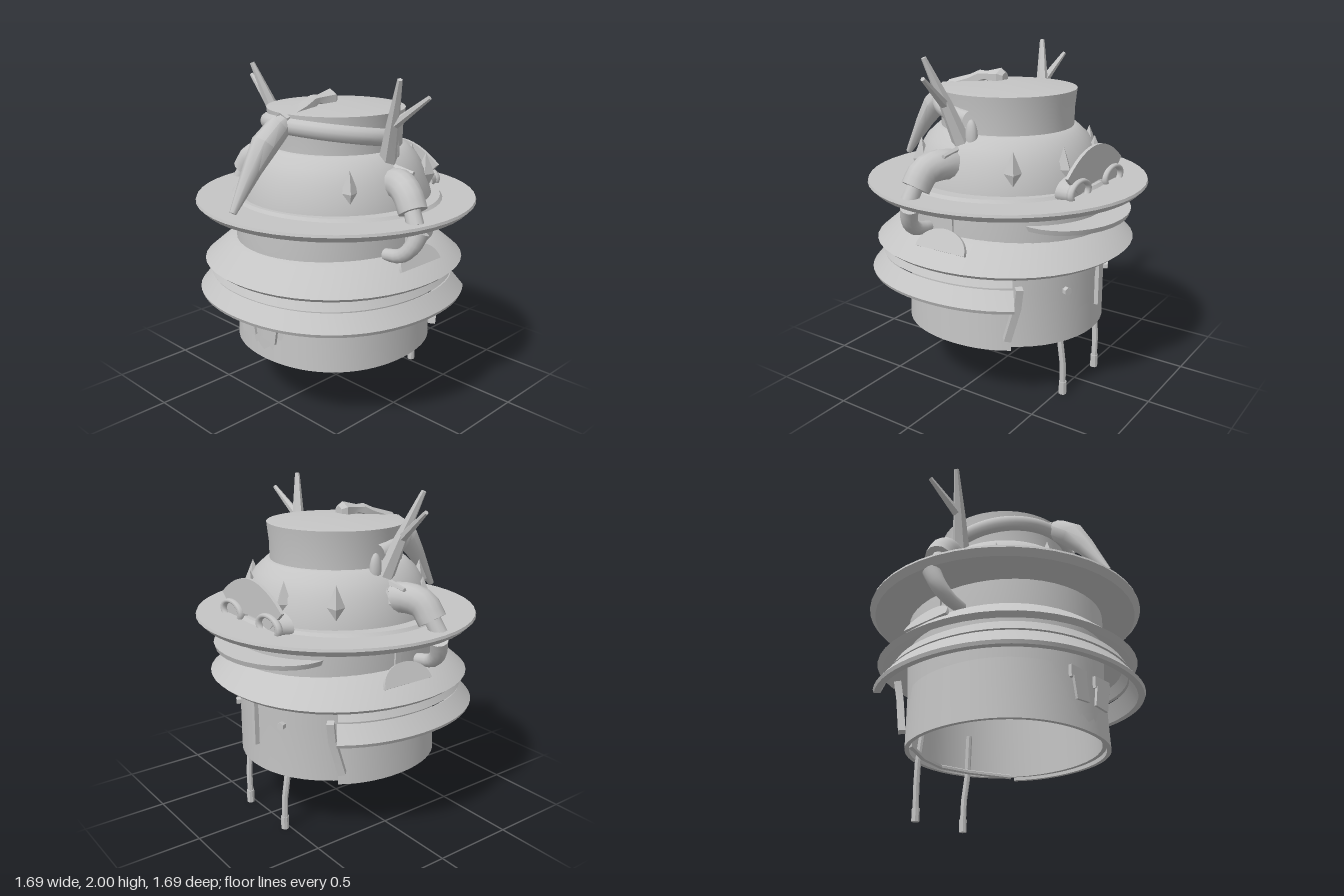
import * as THREE from 'three';
import { toCreasedNormals } from 'three/addons/utils/BufferGeometryUtils.js';

export function createModel() {
  const model = new THREE.Group();
  const grey = new THREE.MeshStandardMaterial({ color: 0xc4c4c4, side: THREE.DoubleSide });
  grey.name = 'plain grey';

  const V = (p) => new THREE.Vector3(...p);
  const add = (name, geo, crease = 0.6) => {
    const mesh = new THREE.Mesh(toCreasedNormals(geo, crease), grey);
    mesh.name = name;
    model.add(mesh);
    return mesh;
  };
  // Turned part with a [radius, y] profile, optionally open at the back by gap radians
  // each side, and fuller on the diagonals by the given share
  const lathe = (name, pts, gap = 0, fuller = 0) => {
    const geo = new THREE.LatheGeometry(
      pts.map(([r, y]) => new THREE.Vector2(r, y)), 48, gap - Math.PI, 2 * (Math.PI - gap));
    const p = geo.attributes.position;
    for (let i = 0; i < p.count; i++) {
      const k = 1 + fuller * Math.sin(2 * Math.atan2(p.getX(i), p.getZ(i))) ** 2;
      p.setXYZ(i, p.getX(i) * k, p.getY(i), p.getZ(i) * k);
    }
    return add(name, geo);
  };

  // Loft round rings of given radius along a path of [x, y, z, radius] stations
  const loft = (name, stations, sides, crease = 0.6) => {
    const pos = [], idx = [];
    const n = stations.length;
    stations.forEach((s, i) => {
      const dir = V(stations[Math.min(i + 1, n - 1)].slice(0, 3))
        .sub(V(stations[Math.max(i - 1, 0)].slice(0, 3))).normalize();
      const ref = Math.abs(dir.z) > 0.9 ? new THREE.Vector3(1, 0, 0) : new THREE.Vector3(0, 0, 1);
      const u = new THREE.Vector3().crossVectors(ref, dir).normalize();
      const v = new THREE.Vector3().crossVectors(dir, u);
      for (let j = 0; j < sides; j++) {
        const a = (j / sides) * Math.PI * 2;
        const p = V(s.slice(0, 3)).addScaledVector(u, s[3] * Math.cos(a)).addScaledVector(v, s[3] * Math.sin(a));
        pos.push(p.x, p.y, p.z);
        if (i < n - 1) {
          const k = i * sides, j2 = (j + 1) % sides;
          idx.push(k + j, k + j2, k + sides + j, k + j2, k + sides + j2, k + sides + j);
        }
      }
    });
    for (let j = 1; j < sides - 1; j++) {
      const k = (n - 1) * sides;
      idx.push(0, j + 1, j, k, k + j, k + j + 1);
    }
    const geo = new THREE.BufferGeometry();
    geo.setAttribute('position', new THREE.Float32BufferAttribute(pos, 3));
    geo.setIndex(idx);
    return add(name, geo, crease);
  };

  // Smooth curved tube with tapering radius
  const hose = (name, pts, r0, r1) => {
    const curve = new THREE.CatmullRomCurve3(pts.map(V));
    const stations = curve.getPoints(8).map((p, i) => [p.x, p.y, p.z, r0 + (r1 - r0) * i / 8]);
    return loft(name, stations, 14, 1);
  };

  // Open-bottomed body, slightly deeper than wide, with a shell around the lower front
  lathe('body', [[0, 1.15], [0.535, 1.15], [0.535, 0.37], [0.56, 0.37], [0.56, 0.7], [0.575, 1.0], [0.57, 1.2]], 0, 0.01)
    .scale.z = 1.08;
  lathe('frontShell', [[0.56, 0.68], [0.56, 0.35], [0.585, 0.35], [0.57, 0.7]], 0.92, 0.03).position.z = 0.022;
  lathe('dome', [[0.58, 1.2], [0.575, 1.27], [0.53, 1.42], [0.48, 1.5], [0.42, 1.555], [0.395, 1.56]]);
  lathe('head', [[0.395, 1.54], [0.397, 1.66], [0.41, 1.775], [0, 1.815]]);

  // Brim and its inner collar
  lathe('brim', [[0.55, 1.18], [0.81, 1.2], [0.845, 1.235], [0.84, 1.25], [0.55, 1.25]]);
  lathe('collar', [[0.66, 1.25], [0.645, 1.268], [0.56, 1.268]]).scale.z = 0.93;

  // Upper skirt all round, lower skirts open at the back
  const upper = lathe('upperSkirt', [[0.56, 0.98], [0.735, 0.85], [0.765, 0.875], [0.62, 1.0], [0.56, 1.02]], 0, 0.02);
  upper.scale.z = 1.02;
  upper.position.z = 0.018;
  lathe('middleSkirt', [[0.69, 0.79], [0.715, 0.79], [0.68, 0.85], [0.66, 0.85], [0.69, 0.79]], 0.9, 0.03)
    .position.z = 0.04;
  lathe('lowerSkirt', [[0.7, 0.775], [0.745, 0.67], [0.782, 0.67], [0.79, 0.69], [0.715, 0.782], [0.7, 0.775]], 0.9, 0.03)
    .position.z = 0.035;

  // Band around the front of the head
  const band = add('headBand', new THREE.TorusGeometry(0.4, 0.05, 12, 32, Math.PI), 1);
  band.rotation.x = Math.PI / 2 - 0.17;
  band.position.y = 1.64;

  // Beak with a tail knob running back over the crown
  loft('beakTail', [[0, 1.82, 0.02, 0.035], [0, 1.82, 0.05, 0.06], [0, 1.825, 0.15, 0.03],
    [0, 1.82, 0.19, 0.04], [0, 1.785, 0.26, 0.045], [0, 1.73, 0.42, 0.055]], 6);
  loft('beak', [[0, 1.74, 0.38, 0.04], [0, 1.705, 0.45, 0.07], [0, 1.62, 0.555, 0.078],
    [0, 1.5, 0.645, 0.056], [0, 1.28, 0.79, 0.02]], 8, 0.8);

  for (const s of [-1, 1]) {
    // Antlers, twigs and ears
    loft('antler', [[s * 0.41, 1.46, 0.01, 0.058], [s * 0.5, 1.73, 0.07, 0.038], [s * 0.6, 1.99, 0.135, 0.015]], 6);
    loft('antlerBranch', [[s * 0.52, 1.74, 0.07, 0.028], [s * 0.725, 1.9, 0.04, 0.013]], 6);
    loft('twig', [[s * 0.42, 1.49, 0.02, 0.025], [s * 0.61, 1.47, 0.01, 0.012]], 5);
    const ear = add('ear', new THREE.SphereGeometry(1, 12, 8), 1);
    ear.scale.set(0.03, 0.1, 0.038);
    ear.position.set(s * 0.42, 1.55, -0.04);

    // Side pipes above and below the brim
    hose('upperPipe', [[s * 0.45, 1.38, 0.03], [s * 0.55, 1.41, 0.06], [s * 0.65, 1.385, 0.11], [s * 0.71, 1.3, 0.13]], 0.09, 0.082);
    loft('pipeNozzle', [[s * 0.7, 1.32, 0.13, 0.045], [s * 0.745, 1.23, 0.15, 0.05]], 10, 0.8);
    hose('lowerPipe', [[s * 0.765, 1.2, 0.13], [s * 0.735, 1.11, 0.16], [s * 0.67, 1.05, 0.175], [s * 0.56, 1.03, 0.17]], 0.052, 0.035);

    // Half-round fan plates leaning in on the skirt
    const half = new THREE.Shape();
    half.absellipse(0, 0, 0.17, 0.125, 0, Math.PI);
    const fan = add('sideFan', new THREE.ExtrudeGeometry(half, { depth: 0.02, bevelEnabled: false, curveSegments: 16 }));
    fan.rotation.set(-0.5, s * Math.PI / 2, 0, 'YXZ');
    fan.position.set(s * 0.665, 0.945, 0);
    const stem = add('fanStem', new THREE.BoxGeometry(0.03, 0.12, 0.04));
    stem.position.set(s * 0.57, 1.08, 0);

    // Front tags
    const tab = add('tagTop', new THREE.BoxGeometry(0.14, 0.07, 0.02));
    tab.position.set(s * 0.11, 0.645, 0.625);
    const flap = new THREE.Shape([[0.05, 0.62], [0.03, 0.5], [0.14, 0.49], [0.165, 0.62]]
      .map(([x, y]) => new THREE.Vector2(s * x, y)));
    add('tagFlap', new THREE.ExtrudeGeometry(flap, { depth: 0.015, bevelEnabled: false })).position.z = 0.625;

    // Slanted rear straps and bolts
    loft('rearStrap', [[s * 0.5, 0.76, -0.41, 0.03], [s * 0.49, 0.64, -0.39, 0.03], [s * 0.51, 0.43, -0.335, 0.03]], 4);
    const bolt = add('bolt', new THREE.CylinderGeometry(0.024, 0.024, 0.05, 6));
    bolt.position.set(s * 0.235, 0.69, -0.555);
    bolt.rotation.set(Math.PI / 2, s * (Math.PI - 0.4), 0, 'YXZ');

    // Hanging rods with feet and an inner brace
    loft('rod', [[s * 0.2, 0.62, -0.49, 0.019], [s * 0.215, 0.35, -0.515, 0.019], [s * 0.205, 0.2, -0.53, 0.019],
      [s * 0.2, 0.06, -0.53, 0.019]], 8);
    const foot = add('foot', new THREE.CylinderGeometry(0.024, 0.024, 0.08, 8));
    foot.position.set(s * 0.2, 0.04, -0.53);
    loft('brace', [[s * 0.44, 0.37, -0.34, 0.015], [s * 0.2, 0.38, -0.49, 0.015], [0, 0.38, -0.54, 0.015]], 6);

    // Rear goggles
    const cup = add('goggleCup', new THREE.CylinderGeometry(0.11, 0.13, 0.07, 20));
    cup.rotation.x = -Math.PI / 2;
    cup.scale.z = 0.6;
    cup.position.set(s * 0.2, 1.275, -0.56);
    const rim = add('goggleRim', new THREE.TorusGeometry(0.1, 0.022, 8, 24), 1);
    rim.scale.y = 0.6;
    rim.position.set(s * 0.2, 1.275, -0.605);
  }

  // Rear fan plate, visor and middle strap
  const fanShape = new THREE.Shape();
  fanShape.moveTo(-0.2, 1.26);
  fanShape.lineTo(-0.32, 1.37);
  fanShape.quadraticCurveTo(0, 1.63, 0.32, 1.37);
  fanShape.lineTo(0.2, 1.26);
  fanShape.quadraticCurveTo(0, 1.32, -0.2, 1.26);
  add('rearFan', new THREE.ExtrudeGeometry(fanShape, { depth: 0.02, bevelEnabled: false })).position.z = -0.6;
  const visor = add('rearVisor', new THREE.CylinderGeometry(0.44, 0.43, 0.03, 32));
  visor.scale.z = 0.75;
  visor.rotation.x = -0.04;
  visor.position.set(0, 1.09, -0.44);
  const strap = add('middleStrap', new THREE.BoxGeometry(0.03, 0.32, 0.03));
  strap.position.set(-0.04, 0.68, -0.615);

  // Faceted spikes round the dome
  for (const [x, z, size] of [[-0.19, 0.5, 1], [-0.43, 0.31, 0.7], [0.42, 0.32, 1], [-0.43, -0.32, 1],
    [0.43, -0.32, 1], [-0.18, -0.49, 1], [0.18, -0.49, 1], [0, -0.53, 0.6], [-0.51, -0.03, 0.7]]) {
    const spike = add('spike', new THREE.OctahedronGeometry(1), 0.1);
    spike.scale.set(0.05 * size, 0.125 * size, 0.055 * size);
    spike.rotation.y = Math.atan2(x, z);
    spike.position.set(x, 1.385, z);
  }
  return model;
}
